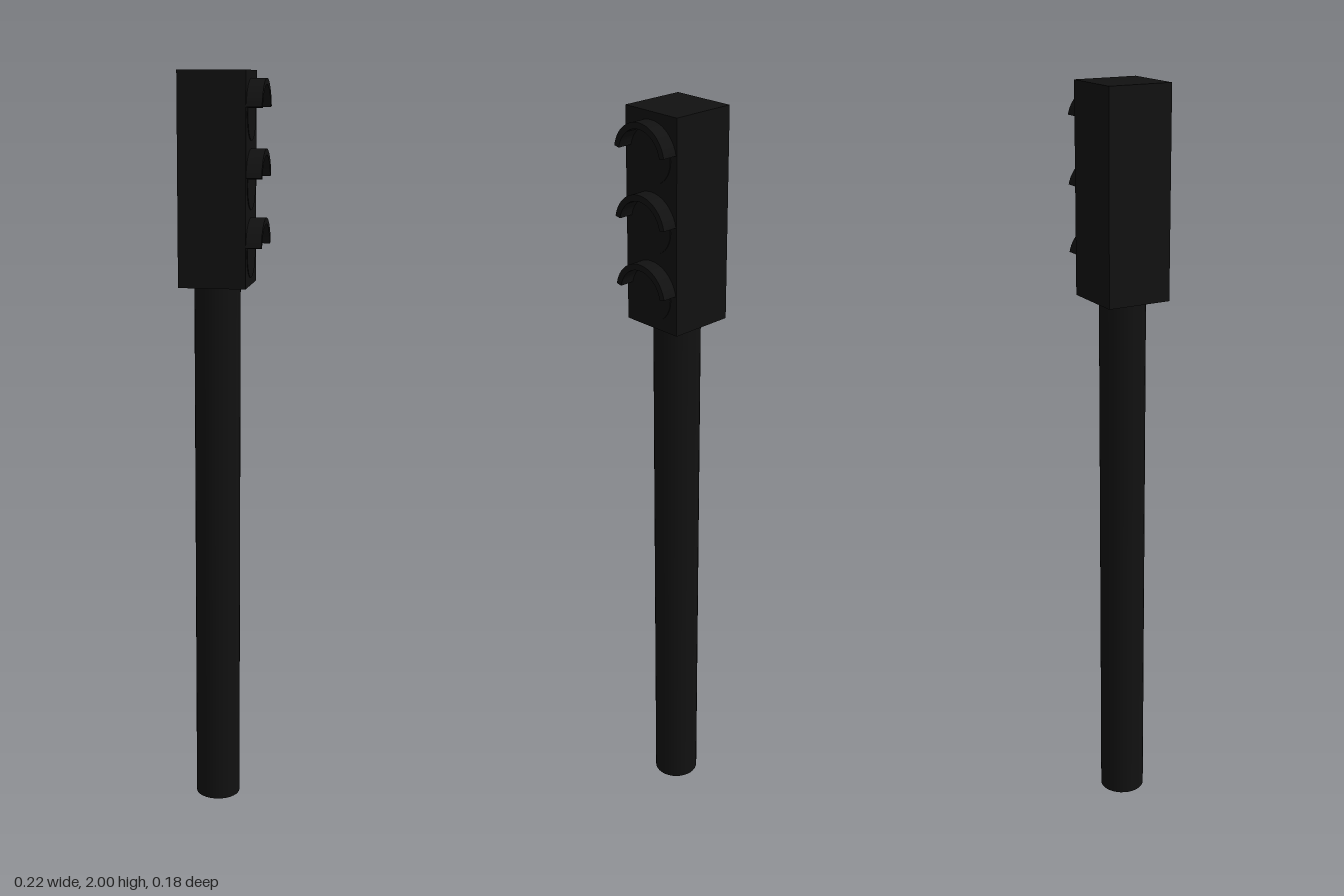
import * as THREE from 'three';
import { toCreasedNormals } from 'three/addons/utils/BufferGeometryUtils.js';

export function createModel() {
  const group = new THREE.Group();
  const black = new THREE.MeshStandardMaterial({ color: 0x111111 });
  const add = (name, geometry, x, y, z = 0) => {
    const mesh = new THREE.Mesh(geometry, black);
    mesh.name = name;
    mesh.position.set(x, y, z);
    group.add(mesh);
    return mesh;
  };

  const poleHeight = 1.455, faceX = 0.068, radius = 0.0872;

  // Round pole and signal box
  add('pole', new THREE.CylinderGeometry(0.061, 0.061, poleHeight, 32), -0.02, poleHeight / 2);
  add('signalBox', new THREE.BoxGeometry(0.176, 2 - poleHeight, 0.176), -0.02, (2 + poleHeight) / 2);

  // Arched visor, cut just above the lamp's middle
  const start = 0.2, end = Math.PI - start;
  const arch = new THREE.Shape();
  arch.absarc(0, 0, radius, start, end, false);
  arch.absarc(0, 0, radius - 0.016, end, start, true);
  arch.closePath();
  const visor = toCreasedNormals(
    new THREE.ExtrudeGeometry(arch, { depth: 0.04, bevelEnabled: false, curveSegments: 24 }).rotateY(Math.PI / 2),
    0.6
  );

  // Almost flush lamp disc
  const lamp = new THREE.CylinderGeometry(0.068, 0.068, 0.004, 32).rotateZ(-Math.PI / 2);

  ['lower', 'middle', 'upper'].forEach((place, i) => {
    const y = 1.543 + i * 0.175;
    add(place + 'Visor', visor, faceX, y);
    add(place + 'Lamp', lamp, faceX, y);
  });

  return group;
}
